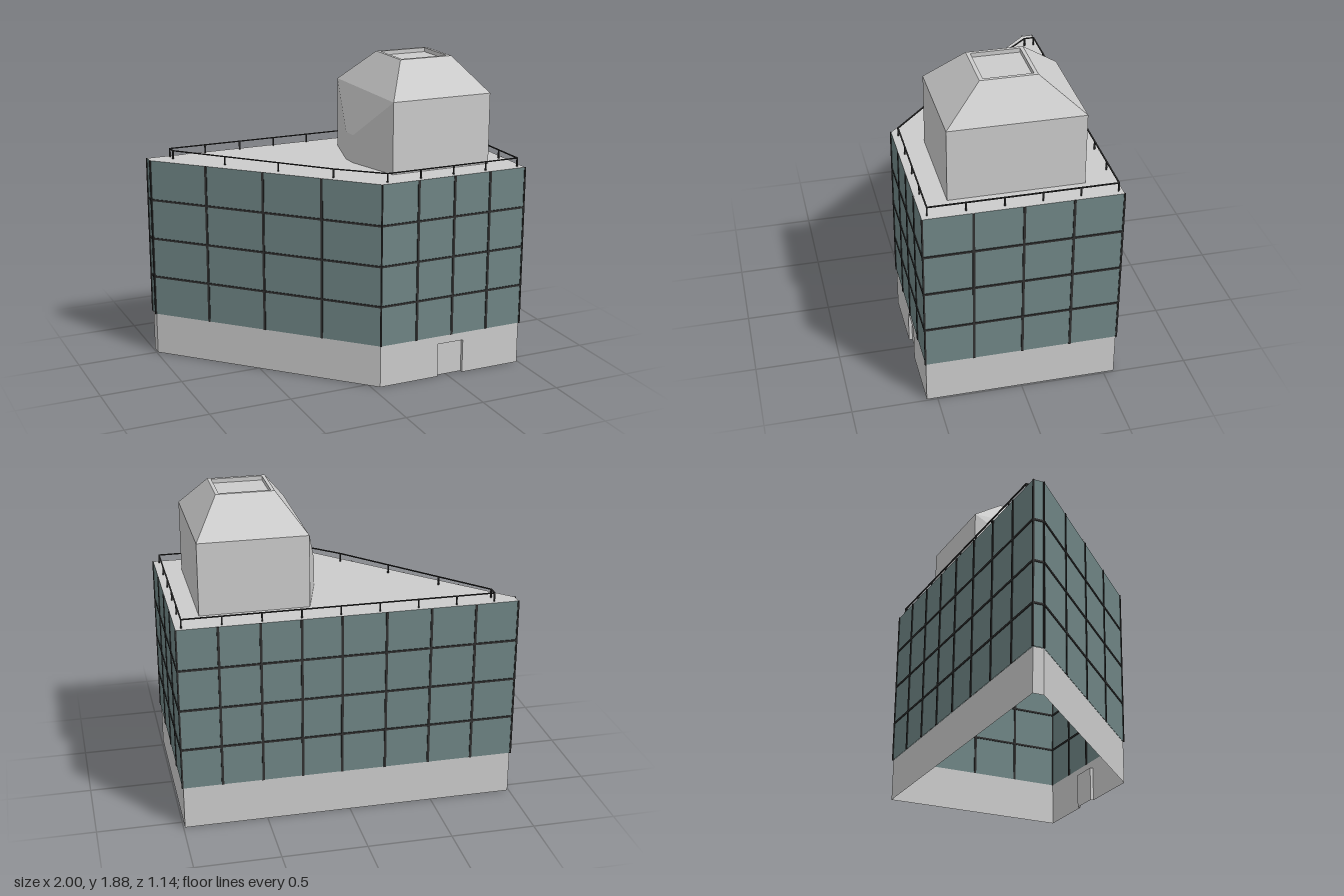
import * as THREE from 'three';

const material = (color) => new THREE.MeshStandardMaterial({ color, side: THREE.DoubleSide, flatShading: true });
const grey = material(0xcccccc);
const glass = material(0x6f8585);
const dark = material(0x303030);

// Footprint corners [x, z], running so that every wall faces outwards
const footprint = [[-0.995, -0.5], [0.05, 0.565], [0.995, 0.565], [0.995, -0.565], [-0.995, -0.565]];
const panelsX = [-0.995, -0.74, -0.475, -0.21, 0.05, 0.285, 0.52, 0.76, 0.995];
const BASE = 0.26, ROOF = 1.25, FLOOR = (ROOF - BASE) / 4;

function add(parent, name, geometry, mat, x = 0, y = 0, z = 0) {
  const mesh = new THREE.Mesh(geometry, mat);
  mesh.name = name;
  mesh.position.set(x, y, z);
  parent.add(mesh);
  return mesh;
}

// Group whose local x runs along the edge a-b and whose local z faces outwards
function alongEdge(parent, name, a, b) {
  const g = new THREE.Group();
  g.name = name;
  g.position.set(a[0], 0, a[1]);
  g.rotation.y = Math.atan2(a[1] - b[1], b[0] - a[0]);
  parent.add(g);
  return { g, length: Math.hypot(b[0] - a[0], b[1] - a[1]) };
}

const polygon = (points) => new THREE.ShapeGeometry(new THREE.Shape(points.map((p) => new THREE.Vector2(...p))));
const edges = (points) => points.map((p, i) => [p, points[(i + 1) % points.length]]);

// Flat faces, each a list of corners in anticlockwise order
function facets(faces) {
  const positions = [];
  for (const f of faces) {
    for (let i = 1; i < f.length - 1; i++) positions.push(...f[0], ...f[i], ...f[i + 1]);
  }
  const geometry = new THREE.BufferGeometry();
  geometry.setAttribute('position', new THREE.Float32BufferAttribute(positions, 3));
  geometry.computeVertexNormals();
  return geometry;
}

const ring = (x0, x1, z0, z1, y) => [[x0, y, z1], [x1, y, z1], [x1, y, z0], [x0, y, z0]];
const band = (low, high) => low.map((p, i) => [p, low[(i + 1) % 4], high[(i + 1) % 4], high[i]]);

// Ground floor: open-bottomed walls, with a recessed door in the front
function buildBase(model) {
  const inset = footprint.map(([x, z]) => [x > 0.1 || x < 0 ? x * 0.996 : x, z * 0.996]);
  edges(inset).forEach(([a, b], i) => {
    const { g, length } = alongEdge(model, 'baseWall', a, b);
    const outline = [[0, 0], [length, 0], [length, BASE], [0, BASE]];
    if (i === 1) {
      const l = 0.385, r = 0.555, h = 0.21, d = 0.02;
      outline.splice(1, 0, [l, 0], [l, h], [r, h], [r, 0]);
      add(g, 'door', new THREE.PlaneGeometry(r - l, h), grey, (l + r) / 2, h / 2, -d);
      add(g, 'doorReveal', facets([
        [[l, 0, 0], [l, 0, -d], [l, h, -d], [l, h, 0]],
        [[r, 0, -d], [r, 0, 0], [r, h, 0], [r, h, -d]],
        [[l, h, 0], [l, h, -d], [r, h, -d], [r, h, 0]],
      ]), grey);
    }
    add(g, 'basePanel', polygon(outline), grey);
  });
}

// Glazed storeys with a grid of dark bars
function buildGlazing(model) {
  const divisions = [4, 4, 4, 8, 1];
  edges(footprint).forEach(([a, b], i) => {
    const { g, length } = alongEdge(model, 'glazedWall', a, b);
    add(g, 'glassPanel', new THREE.PlaneGeometry(length, ROOF - BASE), glass, length / 2, (BASE + ROOF) / 2);
    for (let k = 0; k <= divisions[i]; k++) {
      const end = k === 0 || k === divisions[i];
      const x = i === 3 ? 0.995 - panelsX[8 - k] : (length * k) / divisions[i];
      add(g, 'mullion', new THREE.BoxGeometry(end ? 0.008 : 0.014, ROOF - BASE, 0.01), dark, x, (BASE + ROOF) / 2);
    }
    for (let k = 1; k < 4; k++) {
      add(g, 'transom', new THREE.BoxGeometry(length, 0.012, 0.01), dark, length / 2, BASE + FLOOR * k);
    }
  });
  const roof = add(model, 'roof', polygon(footprint.map(([x, z]) => [x, -z])), grey, 0, ROOF, 0);
  roof.rotation.x = -Math.PI / 2;
}

// Railing set in from the roof edge
function buildRailing(model) {
  const path = [[-0.855, -0.48], [-0.14, 0.31], [0.1, 0.53], [0.96, 0.53], [0.96, -0.54], [-0.855, -0.54]];
  const posts = [3, 1, 4, 5, 8, 1];
  const height = 0.055;
  edges(path).forEach(([a, b], i) => {
    const { g, length } = alongEdge(model, 'railing', a, b);
    add(g, 'handrail', new THREE.BoxGeometry(length, 0.006, 0.008), dark, length / 2, ROOF + height - 0.003);
    for (let k = 0; k < posts[i]; k++) {
      add(g, 'railingPost', new THREE.BoxGeometry(0.008, height, 0.008), dark, (length * k) / posts[i], ROOF + height / 2);
    }
  });
}

// Rooftop house: box, projecting entrance side, sloped roof, sunken top
function buildRooftopHouse(model) {
  const house = new THREE.Group();
  house.name = 'rooftopHouse';
  model.add(house);
  const eaves = 1.68, top = 1.88, porch = 1.42;
  const low = ring(0.2, 0.84, -0.385, 0.395, ROOF);
  const mid = ring(0.2, 0.84, -0.385, 0.395, eaves);
  const high = ring(0.35, 0.69, -0.145, 0.18, top);
  const rim = ring(0.37, 0.67, -0.125, 0.157, top);
  const floor = ring(0.37, 0.67, -0.125, 0.157, top - 0.025);
  add(house, 'houseWalls', facets(band(low, mid).slice(0, 3)), grey);
  add(house, 'houseRoof', facets([...band(mid, high), ...band(high, rim), ...band(rim, floor), floor]), grey);

  const f0 = [0.105, ROOF, 0.05], f1 = [0.105, porch, 0.05];
  const b0 = [0.105, ROOF, -0.05], b1 = [0.105, porch, -0.05];
  add(house, 'entranceSide', facets([
    [b0, f0, f1, b1],
    [f0, low[0], mid[0], f1],
    [low[3], b0, b1, mid[3]],
    [b1, f1, mid[0], mid[3]],
  ]), grey);
}

export function createModel() {
  const model = new THREE.Group();
  model.name = 'officeBuilding';
  buildBase(model);
  buildGlazing(model);
  buildRailing(model);
  buildRooftopHouse(model);
  return model;
}
